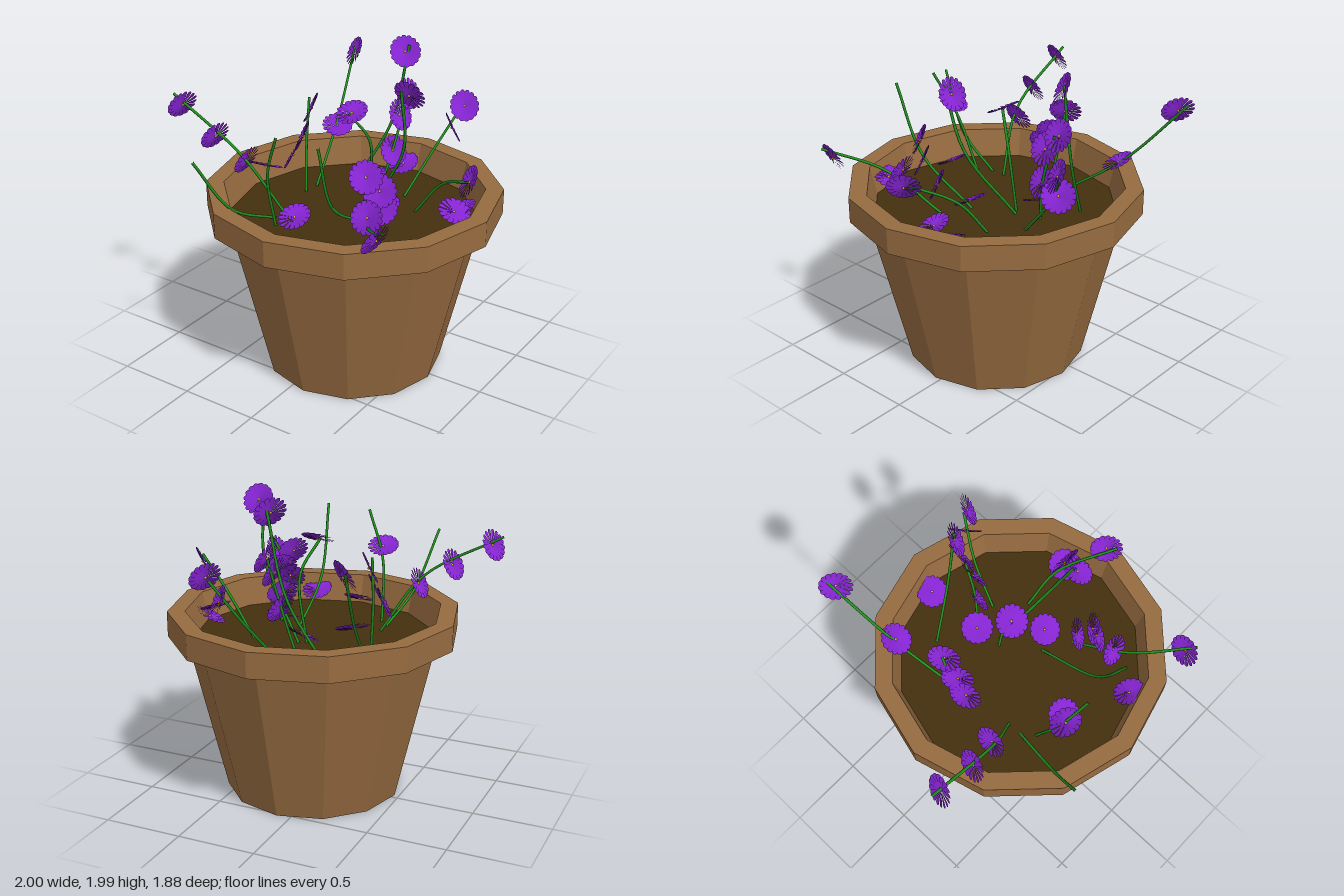
import * as THREE from 'three';
import { mergeGeometries } from 'three/addons/utils/BufferGeometryUtils.js';

const SOIL = 1;
const material = (color, options = {}) => new THREE.MeshStandardMaterial({ color, ...options });

// One blossom facing +z: a ring of broad, slightly twisted and cupped petals
function blossomGeometry(petals = 16) {
  const shape = new THREE.Shape();
  shape.moveTo(0, 0);
  shape.lineTo(0.02, 0.085);
  shape.quadraticCurveTo(0.016, 0.102, 0, 0.102);
  shape.quadraticCurveTo(-0.016, 0.102, -0.02, 0.085);
  const parts = [];
  for (let i = 0; i < petals; i++) {
    const petal = new THREE.ShapeGeometry(shape, 3);
    petal.rotateY(0.25).rotateX(0.1).rotateZ((i / petals) * Math.PI * 2);
    parts.push(petal);
  }
  return mergeGeometries(parts);
}

// Stems: root x, z in the soil, then the bend and the tip
const STEMS = [
  [-0.26, 0.28, -0.5, 1.36, 0.38, -1, 1.66, 0.4],
  [-0.32, -0.15, -0.43, 1.3, -0.55, -0.53, 1.72, -0.92],
  [-0.26, 0.37, -0.33, 1.17, 0.7, -0.41, 1.53, 0.93],
  [0.23, 0.1, 0.25, 1.25, 0.5, 0.28, 1.69, 0.68],
  [0.11, -0.15, 0.41, 1.48, -0.01, 0.45, 1.88, 0.1],
  [-0.18, -0.42, 0.02, 1.4, -0.5, 0.13, 1.93, -0.52],
  [-0.2, 0.45, -0.15, 1.38, 0.58, -0.02, 1.68, 0.66],
  [0.4, -0.18, 0.6, 1.25, -0.13, 0.9, 1.42, 0.08],
  [0.4, 0.2, 0.52, 1.22, 0.55, 0.77, 1.36, 0.84],
  [0.23, -0.33, 0.3, 1.25, -0.55, 0.4, 1.52, -0.73],
  [0.07, -0.12, 0.12, 1.42, -0.1, 0.04, 1.63, 0.02],
  [-0.33, -0.05, -0.36, 1.3, -0.1, -0.37, 1.6, -0.15],
  [0.06, -0.3, 0.12, 1.3, -0.37, 0.15, 1.62, -0.48],
];

// Blossoms turned sideways: position, then heading in degrees from +z towards +x
const SIDE_BLOSSOMS = [
  [-0.93, 1.6, 0.4, -108],
  [-0.68, 1.45, 0.4, -104],
  [-0.48, 1.32, 0.35, -92],
  [-0.5, 1.68, -0.87, -40],
  [-0.35, 1.53, -0.15, -60],
  [-0.35, 1.37, -0.05, -58],
  [-0.37, 1.27, 0.03, -68],
  [0.11, 1.89, -0.5, 50],
  [0.14, 1.62, -0.5, 84],
  [0.14, 1.51, -0.4, 84],
  [0.12, 1.28, -0.36, 72],
  [0.46, 1.83, 0.03, 180],
  [0.42, 1.53, -0.72, 55],
  [0.36, 1.38, -0.68, 129],
  [0.39, 1.43, 0.37, 45],
  [0.44, 1.33, 0.3, 36],
  [0.46, 1.23, 0.46, 6],
  [0.4, 1.18, 0.22, 40],
  [0.73, 1.3, 0.79, -100],
  [0.87, 1.39, 0.02, -48],
];

// Blossoms opening upwards: position and heading
const UPWARD_BLOSSOMS = [
  [-0.41, 1.28, -0.52, 40],
  [0.05, 1.63, 0, 0],
  [-0.02, 1.12, 0.5, 0],
  [-0.14, 1.46, 0.61, 190],
  [0.03, 1.1, -0.27, -40],
  [0.31, 1.1, 0.04, 0],
  [0.72, 1.1, -0.17, -60],
  [0.73, 1.13, -0.07, 60],
  [0.02, 1.06, -0.66, 0],
  [0.37, 1.08, 0.69, 180],
];

export function createModel() {
  const model = new THREE.Group();
  model.name = 'flowerPot';
  const add = (parent, name, geometry, mat) => {
    const mesh = new THREE.Mesh(geometry, mat);
    mesh.name = name;
    parent.add(mesh);
    return mesh;
  };

  // Twelve-sided pot with an overhanging rim, and the soil inside
  const pot = new THREE.Group();
  pot.name = 'potWithSoil';
  pot.position.set(0.09, 0, 0.035);
  model.add(pot);
  const profile = [[0, 0], [0.56, 0], [0.8, 1.02], [0.91, 1.02], [0.91, 1.18], [0.8, 1.18], [0.755, 0.98]]
    .map(([x, y]) => new THREE.Vector2(x, y));
  add(pot, 'pot', new THREE.LatheGeometry(profile, 12), material(0x966b40, { flatShading: true }));
  const soil = new THREE.CylinderGeometry(0.76, 0.74, 0.06, 12);
  add(pot, 'soil', soil, material(0x43300f, { flatShading: true })).position.y = SOIL - 0.03;

  // Thin curved stems
  const green = material(0x22901f);
  for (const [rootX, rootZ, ...rest] of STEMS) {
    const curve = new THREE.CatmullRomCurve3([
      new THREE.Vector3(rootX, SOIL, rootZ),
      new THREE.Vector3().fromArray(rest),
      new THREE.Vector3().fromArray(rest, 3),
    ]);
    add(model, 'stem', new THREE.TubeGeometry(curve, 14, 0.009, 6), green);
  }

  // Blossoms with small yellow hearts, tilted up by the pitch
  const petals = blossomGeometry();
  const heart = new THREE.SphereGeometry(0.008, 8, 6);
  const purple = material(0x8424d0, { side: THREE.DoubleSide });
  const yellow = material(0xe0b030);
  const addBlossom = ([x, y, z, heading], pitch) => {
    const blossom = new THREE.Group();
    blossom.name = 'blossom';
    blossom.position.set(x, y, z);
    blossom.rotation.set(-pitch, THREE.MathUtils.degToRad(heading), 0, 'YXZ');
    add(blossom, 'petals', petals, purple);
    add(blossom, 'heart', heart, yellow);
    model.add(blossom);
  };
  SIDE_BLOSSOMS.forEach((spot) => addBlossom(spot, 0.45));
  UPWARD_BLOSSOMS.forEach((spot) => addBlossom(spot, 1.1));
  return model;
}
